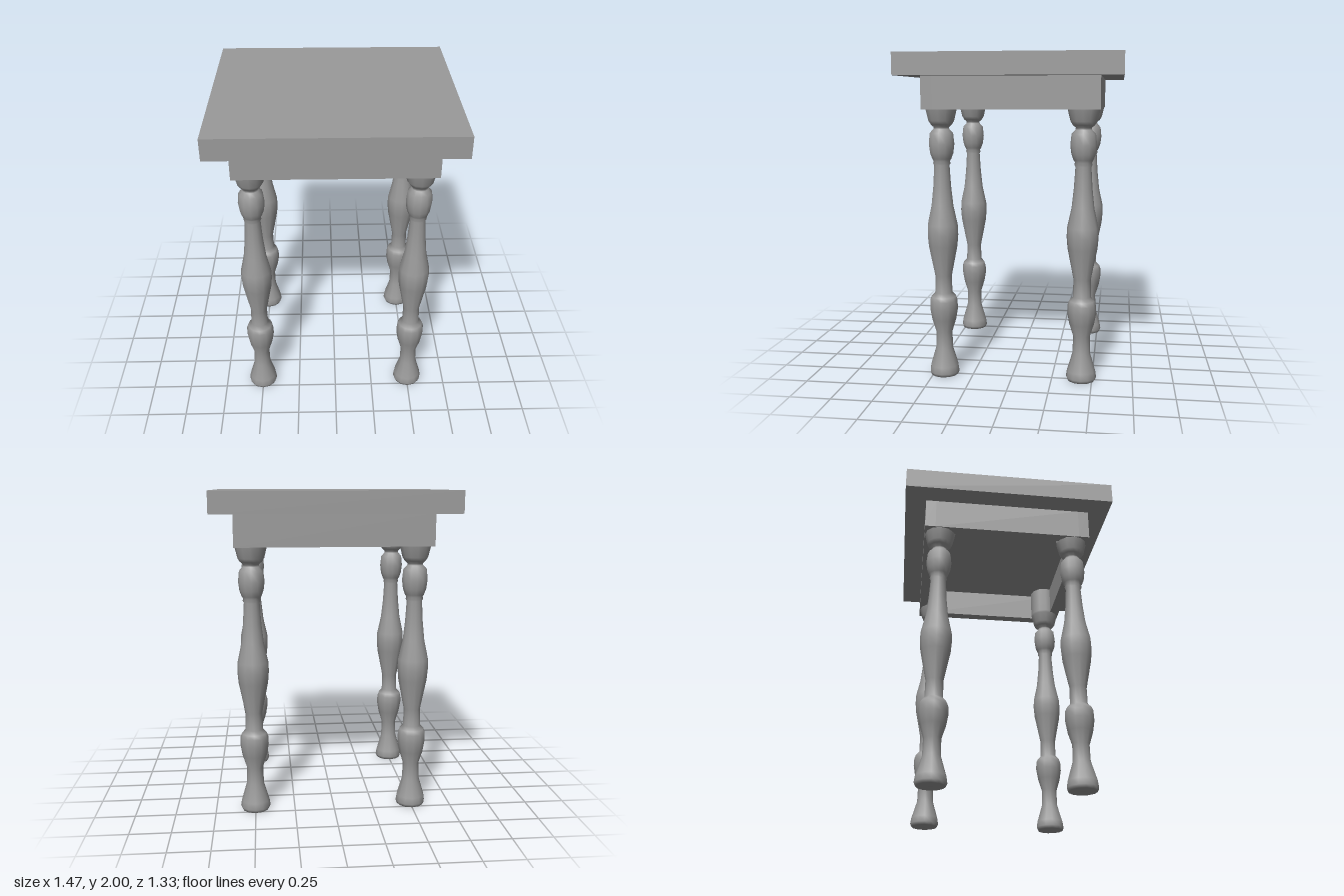
import * as THREE from 'three';

const material = new THREE.MeshStandardMaterial({ color: 0x9a9a9a });

function box(name, w, h, d, x, y, z) {
  const mesh = new THREE.Mesh(new THREE.BoxGeometry(w, h, d), material);
  mesh.name = name;
  mesh.position.set(x, y, z);
  return mesh;
}

// Turned leg profile: radius, height
const legProfile = [
  [0, 0], [0.085, 0], [0.094, 0.02], [0.088, 0.06], [0.054, 0.175], [0.052, 0.28],
  [0.077, 0.36], [0.089, 0.43], [0.087, 0.48], [0.078, 0.505], [0.055, 0.53], [0.053, 0.64],
  [0.091, 0.83], [0.097, 0.9], [0.095, 0.96], [0.069, 1.08], [0.056, 1.2], [0.048, 1.33],
  [0.055, 1.342], [0.051, 1.355], [0.06, 1.37], [0.073, 1.405], [0.08, 1.46], [0.073, 1.525],
  [0.05, 1.55], [0.048, 1.562], [0.066, 1.578], [0.08, 1.6], [0.096, 1.665], [0.099, 1.68],
  [0.099, 1.87],
];

export function createModel() {
  const group = new THREE.Group();

  // Table top
  group.add(box('tableTop', 1.467, 0.133, 1.333, 0, 1.9335, 0));

  // Apron: four boards forming a frame open underneath
  const w = 1.2, d = 1.067, t = 0.067, h = 0.197, y = 1.7685;
  for (const s of [1, -1]) {
    group.add(box(s > 0 ? 'frontApron' : 'backApron', w, h, t, 0, y, s * (d - t) / 2));
    group.add(box(s > 0 ? 'leftApron' : 'rightApron', t, h, d - 2 * t, s * (w - t) / 2, y, 0));
  }

  // Four smooth turned legs
  const points = legProfile.map(([r, py]) => new THREE.Vector2(r, py));
  const legGeometry = new THREE.LatheGeometry(points, 12, Math.PI / 2);
  for (const sx of [1, -1]) {
    for (const sz of [1, -1]) {
      const leg = new THREE.Mesh(legGeometry, material);
      leg.name = (sz > 0 ? 'front' : 'back') + (sx > 0 ? 'Left' : 'Right') + 'Leg';
      leg.position.set(sx * 0.5, 0, sz * 0.433);
      group.add(leg);
    }
  }
  return group;
}
